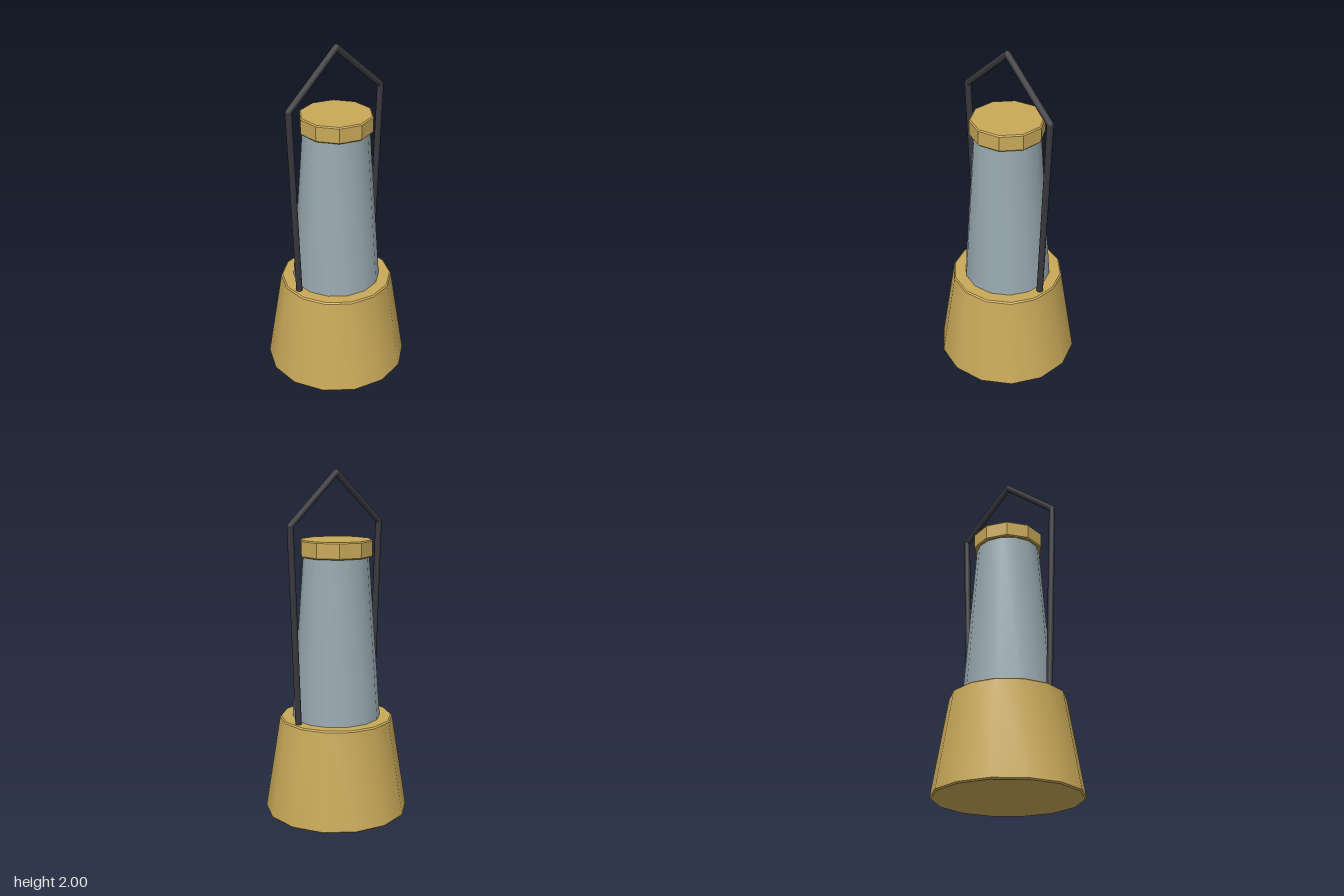
import * as THREE from 'three';
import { toCreasedNormals } from 'three/addons/utils/BufferGeometryUtils.js';

const brass = new THREE.MeshStandardMaterial({ color: 0xc9a959 });
brass.name = 'brass';
const glass = new THREE.MeshStandardMaterial({ color: 0x98a9b0 });
glass.name = 'grey glass';
const iron = new THREE.MeshStandardMaterial({ color: 0x38373c });
iron.name = 'dark iron';

// Closed turned part with small bevelled rims; facets over 30 degrees stay sharp
function turned(name, material, sides, y0, r0, y1, r1, bevel) {
  const profile = [
    [0, y0], [r0 - bevel, y0], [r0, y0 + bevel],
    [r1, y1 - bevel], [r1 - bevel, y1], [0, y1],
  ].map(([r, y]) => new THREE.Vector2(r, y));
  const geometry = toCreasedNormals(new THREE.LatheGeometry(profile, sides), Math.PI / 6);
  const mesh = new THREE.Mesh(geometry, material);
  mesh.name = name;
  return mesh;
}

// Round rod between two points
function rod(name, a, b, radius) {
  const direction = b.clone().sub(a);
  const mesh = new THREE.Mesh(new THREE.CylinderGeometry(radius, radius, direction.length(), 10), iron);
  mesh.position.copy(a).add(b).multiplyScalar(0.5);
  mesh.quaternion.setFromUnitVectors(new THREE.Vector3(0, 1, 0), direction.normalize());
  mesh.name = name;
  return mesh;
}

export function createModel() {
  const model = new THREE.Group();
  model.name = 'lantern';

  model.add(
    turned('base', brass, 14, 0, 0.42, 0.57, 0.331, 0.008),
    turned('glassChimney', glass, 14, 0.56, 0.258, 1.52, 0.188, 0.001),
    turned('cap', brass, 10, 1.508, 0.21, 1.605, 0.21, 0.007),
  );

  // Bent carrying handle, rising from the base to a peak
  const handle = new THREE.Group();
  handle.name = 'handle';
  const radius = 0.019;
  const points = [[-0.284, 0.55], [-0.33, 1.695], [0, 1.977], [0.33, 1.695], [0.284, 0.55]]
    .map(([x, y]) => new THREE.Vector3(x, y, 0));
  for (let i = 0; i < points.length - 1; i++) {
    handle.add(rod('handleRod', points[i], points[i + 1], radius));
    if (i > 0) {
      const joint = new THREE.Mesh(new THREE.SphereGeometry(radius, 12, 8), iron);
      joint.position.copy(points[i]);
      joint.name = 'handleJoint';
      handle.add(joint);
    }
  }
  model.add(handle);
  return model;
}
